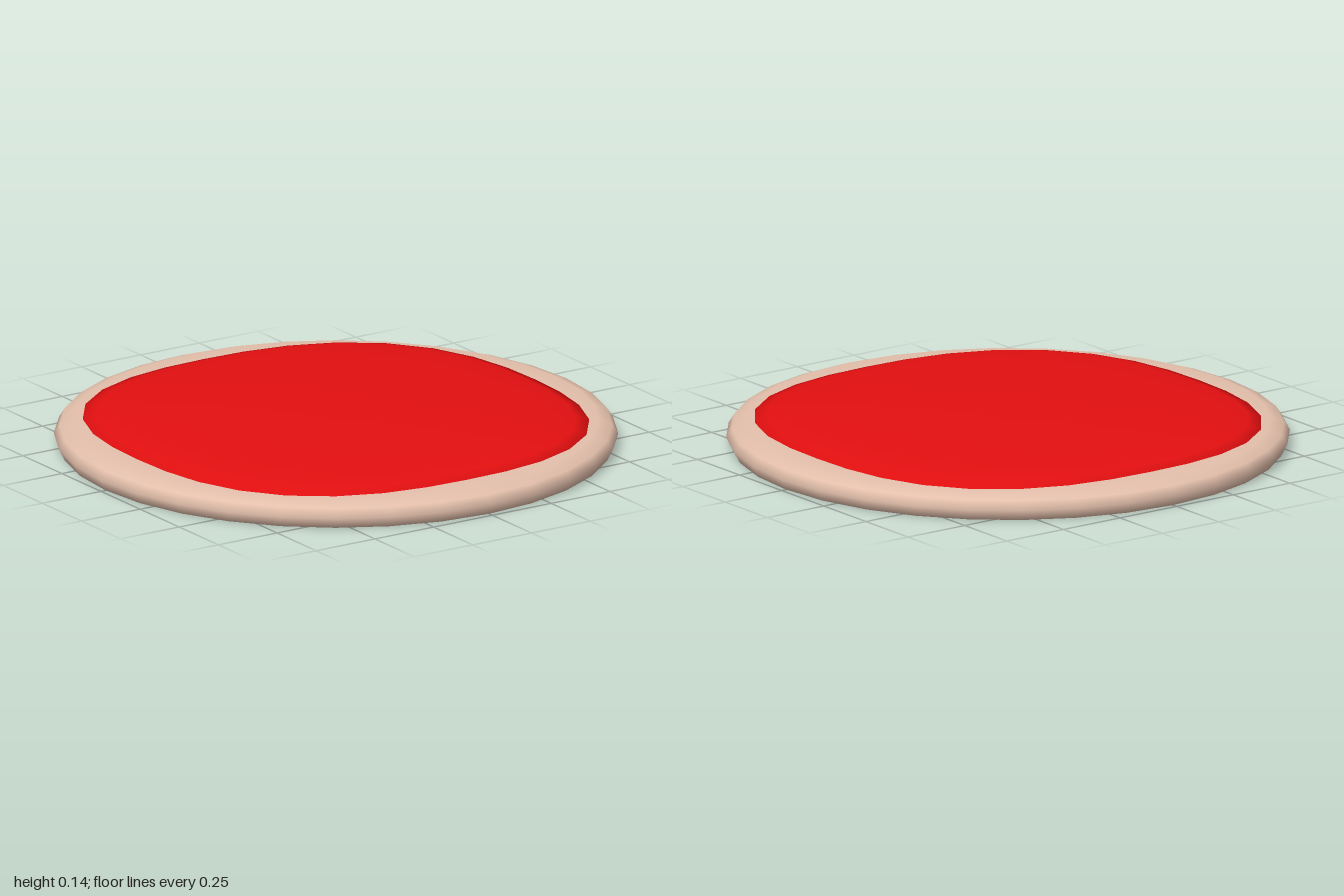
import * as THREE from 'three';
import { mergeVertices } from 'three/addons/utils/BufferGeometryUtils.js';

const SEGMENTS = 32;
const profile = (pairs) => pairs.map(([r, y]) => new THREE.Vector2(r, y));

// Turned form whose circular outline is pushed out to a soft square
function softSquareLathe(pairs, power) {
  const geo = new THREE.LatheGeometry(profile(pairs), SEGMENTS);
  const pos = geo.attributes.position;
  for (let i = 0; i < pos.count; i++) {
    const x = pos.getX(i), z = pos.getZ(i);
    const r = Math.hypot(x, z);
    if (r < 1e-6) continue;
    const c = Math.abs(x / r), s = Math.abs(z / r);
    const k = Math.pow(Math.pow(c, power) + Math.pow(s, power), -1 / power);
    pos.setXYZ(i, x * k, pos.getY(i), z * k);
  }
  // weld the seam so the normals are smooth all round
  geo.deleteAttribute('uv');
  geo.deleteAttribute('normal');
  const welded = mergeVertices(geo, 1e-5);
  welded.computeVertexNormals();
  return welded;
}

export function createModel() {
  const doughMat = new THREE.MeshStandardMaterial({ color: 0xe3bfab });
  doughMat.name = 'dough';
  const sauceMat = new THREE.MeshStandardMaterial({ color: 0xe30f10 });
  sauceMat.name = 'sauce red';

  const model = new THREE.Group();
  model.name = 'sauceTopedBase'.replace('Toped', 'Topped');

  // Flat round base with a rounded rim
  const base = new THREE.Mesh(new THREE.LatheGeometry(profile([
    [0, 0], [0.9, 0], [0.98, 0], [1, 0.04], [0.98, 0.072],
    [0.93, 0.09], [0.82, 0.092], [0.7, 0.08], [0, 0.08],
  ]), SEGMENTS), doughMat);
  base.name = 'doughBase';
  model.add(base);

  // Gently domed topping, its edge sunk into the base
  const sauce = new THREE.Mesh(softSquareLathe([
    [0.83, 0.06], [0.845, 0.092], [0.8, 0.105], [0.72, 0.115],
    [0.55, 0.124], [0.3, 0.132], [0, 0.136],
  ], 2.5), sauceMat);
  sauce.name = 'sauceTopping';
  model.add(sauce);

  return model;
}
